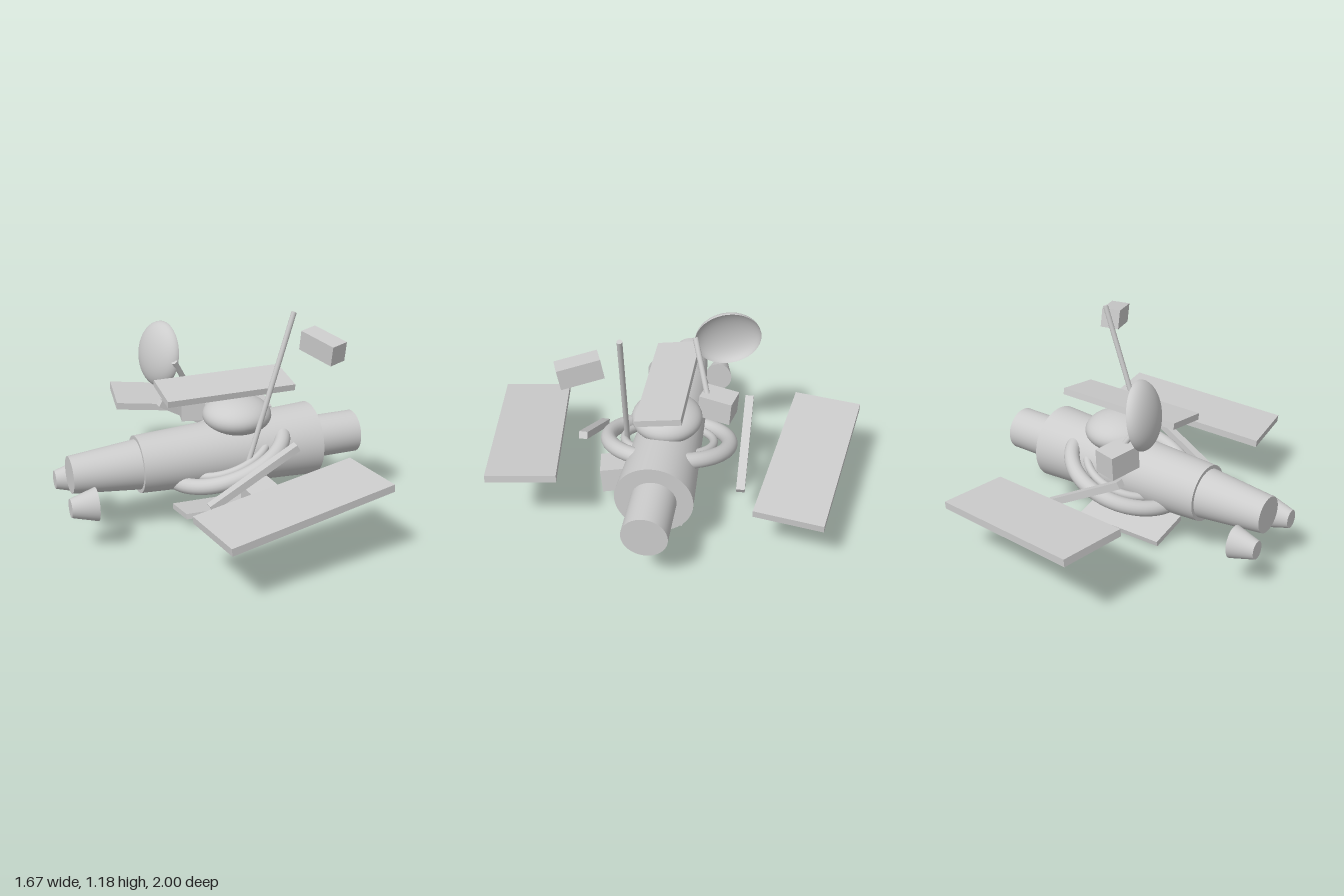
import * as THREE from 'three';

export function createModel() {
  const root = new THREE.Group();
  const hull = new THREE.MeshStandardMaterial({ color: 0xcccccc, side: THREE.DoubleSide });
  hull.name = 'lightGrey';

  function add(name, geometry, pos, rot = [0, 0, 0], parent = root) {
    const mesh = new THREE.Mesh(geometry, hull);
    mesh.name = name;
    mesh.position.set(...pos);
    mesh.rotation.set(...rot);
    parent.add(mesh);
    return mesh;
  }

  // Round section along x, from x0 (radius r0) to x1 (radius r1)
  function section(name, x0, r0, x1, r1, y = 0.37, z = 0) {
    const g = new THREE.CylinderGeometry(r1, r0, x1 - x0, 48);
    g.rotateZ(-Math.PI / 2);
    return add(name, g, [(x0 + x1) / 2, y, z]);
  }

  // Thin rod between two points
  function rod(name, from, to, radius) {
    const a = new THREE.Vector3(...from), b = new THREE.Vector3(...to);
    const dir = b.clone().sub(a);
    const mesh = add(name, new THREE.CylinderGeometry(radius, radius, dir.length(), 20),
      a.add(b).multiplyScalar(0.5).toArray());
    mesh.quaternion.setFromUnitVectors(new THREE.Vector3(0, 1, 0), dir.normalize());
  }

  const box = (name, size, pos, rot, parent) =>
    add(name, new THREE.BoxGeometry(...size), pos, rot, parent);

  // Main body
  section('noseModule', 0.55, 0.117, 0.83, 0.117);
  section('mainHull', -0.435, 0.153, 0.56, 0.202);
  section('tailCone', -0.795, 0.098, -0.43, 0.134);

  // Thrusters, flaring toward the hull
  for (const s of [1, -1]) {
    section(s > 0 ? 'leftThruster' : 'rightThruster', -0.838, 0.05, -0.703, 0.09, 0.27, s * 0.175)
      .scale.z = 0.86;
  }

  // Dome on the back of the hull
  add('dome', new THREE.SphereGeometry(0.185, 40, 24), [0.13, 0.574, 0]).scale.y = 0.54;

  // Two tilted rings around the hull
  const rings = new THREE.Group();
  rings.name = 'rings';
  rings.position.set(0.06, 0.37, 0);
  rings.rotation.z = 0.33;
  root.add(rings);
  for (const [name, R, r] of [['outerRing', 0.326, 0.042], ['innerRing', 0.24, 0.022]]) {
    add(name, new THREE.TorusGeometry(R, r, 18, 72), [0, 0, 0], [Math.PI / 2, 0, 0], rings);
  }

  // Side arrays: the far side is the near side turned half round the x axis
  for (const turn of [0, Math.PI]) {
    const side = new THREE.Group();
    side.name = turn ? 'farSideArray' : 'nearSideArray';
    side.position.y = 0.395;
    side.rotation.x = turn;
    root.add(side);
    box('largePanel', [0.927, 0.04, 0.36], [0.13, 0, 0.75], [0, 0.162, 0.1], side);
    box('sideBeam', [0.54, 0.038, 0.045], [0.06, 0, 0.408], [0, -0.02, 0.52], side);
  }

  // Panels above and below the hull
  box('topPanel', [0.71, 0.035, 0.235], [0.06, 0.747, 0], [0.16, 0, 0]);
  box('bottomPanel', [0.53, 0.03, 0.235], [0.065, 0.042, 0], [-0.2, 0, -0.02]);

  // Equipment boxes
  box('upperBox', [0.1, 0.105, 0.215], [0.435, 1.04, 0.375], [0.18, 0.38, 0]);
  box('lowerBox', [0.165, 0.135, 0.155], [0.165, 0.195, 0.275], [0.1, 0.18, 0.08]);
  box('rearBox', [0.13, 0.13, 0.18], [-0.04, 0.56, -0.248], [-0.06, -0.22, 0]);

  // Mast and dish arm
  rod('mast', [0.1, 0.36, 0.22], [0.36, 1.17, 0.19], 0.014);
  rod('dishArm', [-0.185, 0.875, -0.1], [-0.035, 0.61, -0.19], 0.015);

  // Shallow open dish, hollow toward the nose
  const bowl = new THREE.SphereGeometry(0.177, 40, 16, 0, Math.PI * 2, Math.PI / 2, Math.PI / 2);
  bowl.scale(1, 0.47, 1);
  const dish = add('dish', bowl, [-0.205, 0.867, -0.272]);
  dish.quaternion.setFromUnitVectors(new THREE.Vector3(0, 1, 0),
    new THREE.Vector3(1, -0.2, -0.25).normalize());

  return root;
}
